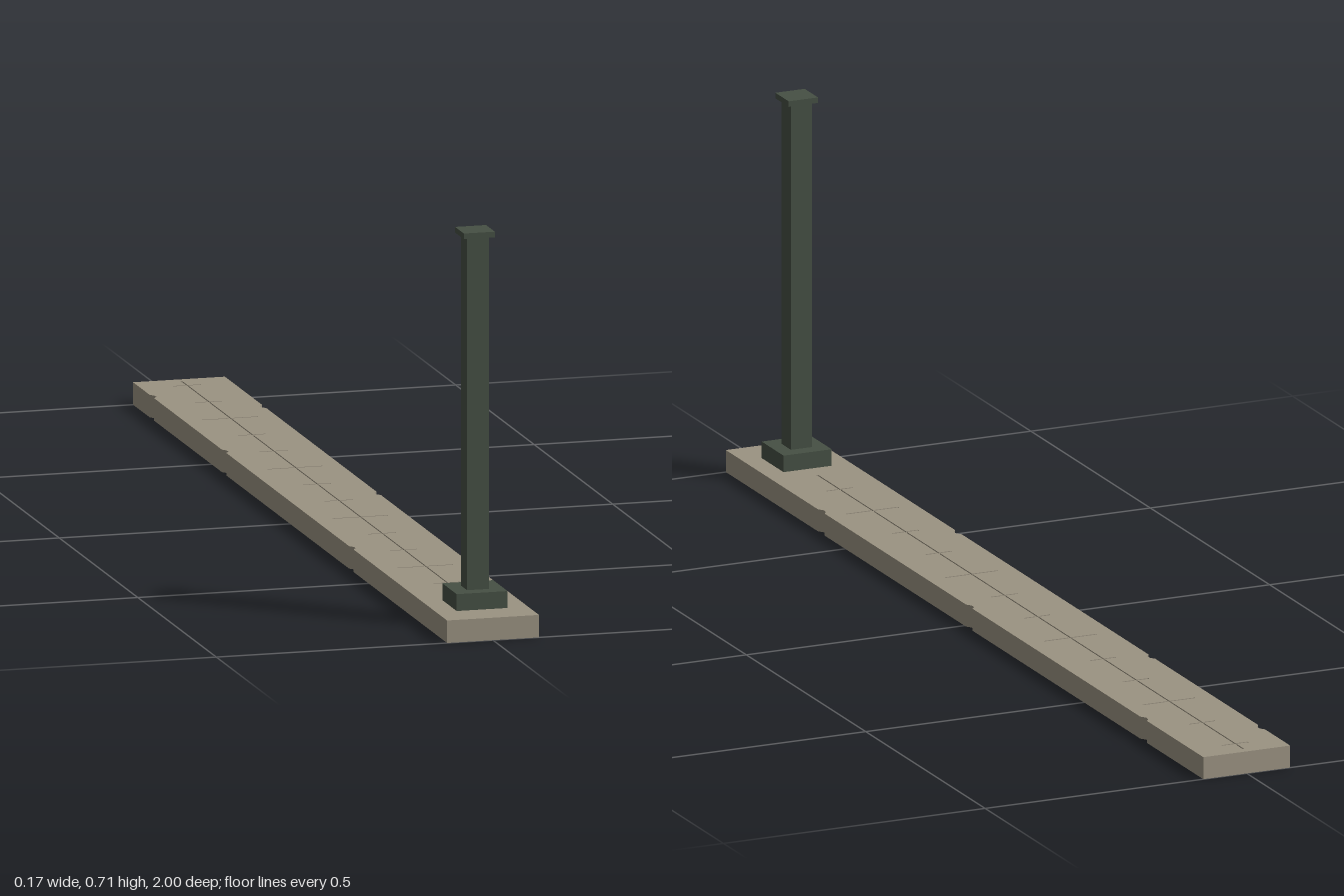
import * as THREE from 'three';

const stone = new THREE.MeshStandardMaterial({ color: 0x9b9382 });
stone.name = 'weathered stone';
const iron = new THREE.MeshStandardMaterial({ color: 0x465044 });
iron.name = 'dark green iron';

const HALF_WIDTH = 0.083, SLAB_HEIGHT = 0.04, GROOVE_DEPTH = 0.002, POST_Z = 0.885;

// Slab plan in (x, -z), with small chips along both long edges
function slabShape() {
  const chip = (side, z) => [
    [side * HALF_WIDTH, z - 0.014], [side * (HALF_WIDTH - 0.007), z - 0.004],
    [side * (HALF_WIDTH - 0.006), z + 0.006], [side * HALF_WIDTH, z + 0.014],
  ];
  const right = [-0.6, 0.02, 0.75].flatMap((z) => chip(1, z));
  const left = [-0.39, 0.42, 0.88].flatMap((z) => chip(-1, z)).reverse();
  const outline = [
    [-HALF_WIDTH, -1], [HALF_WIDTH, -1], ...right,
    [HALF_WIDTH, 1], [-HALF_WIDTH, 1], ...left,
  ];
  return new THREE.Shape(outline.map(([x, y]) => new THREE.Vector2(x, y)));
}

// Narrow spine with cross ticks, every third tick longer
function grooveOutline() {
  const w = 0.002, side = [[w, -0.8]];
  for (let i = 12; i >= 0; i--) {
    const y = 0.95 - i * 0.138;
    const reach = i % 3 === 2 ? 0.05 : 0.025;
    side.push([w, y - w], [reach, y - w], [reach, y + w], [w, y + w]);
  }
  side.push([w, 0.985]);
  const mirrored = side.map(([x, y]) => [-x, y]).reverse();
  return new THREE.Path([...side, ...mirrored].map(([x, y]) => new THREE.Vector2(x, y)));
}

function layer(name, shape, y, height) {
  const geometry = new THREE.ExtrudeGeometry(shape, { depth: height, bevelEnabled: false });
  geometry.rotateX(-Math.PI / 2);
  const mesh = new THREE.Mesh(geometry, stone);
  mesh.name = name;
  mesh.position.y = y;
  return mesh;
}

function block(name, width, bottom, top) {
  const mesh = new THREE.Mesh(new THREE.BoxGeometry(width, top - bottom, width), iron);
  mesh.name = name;
  mesh.position.set(0, (bottom + top) / 2, POST_Z);
  return mesh;
}

export function createModel() {
  const model = new THREE.Group();
  model.name = 'postOnMarkedSlab';

  // Long stone slab with an engraved scale in its top
  const slab = new THREE.Group();
  slab.name = 'slab';
  const engraved = slabShape();
  engraved.holes.push(grooveOutline());
  const bodyHeight = SLAB_HEIGHT - GROOVE_DEPTH;
  slab.add(
    layer('slabBody', slabShape(), 0, bodyHeight),
    layer('engravedTop', engraved, bodyHeight, GROOVE_DEPTH),
  );

  // Square post on a plinth, with a thin cap
  const post = new THREE.Group();
  post.name = 'post';
  post.add(
    block('plinth', 0.092, SLAB_HEIGHT, 0.07),
    block('shaft', 0.04, 0.07, 0.697),
    block('cap', 0.056, 0.697, 0.707),
  );

  model.add(slab, post);
  return model;
}
